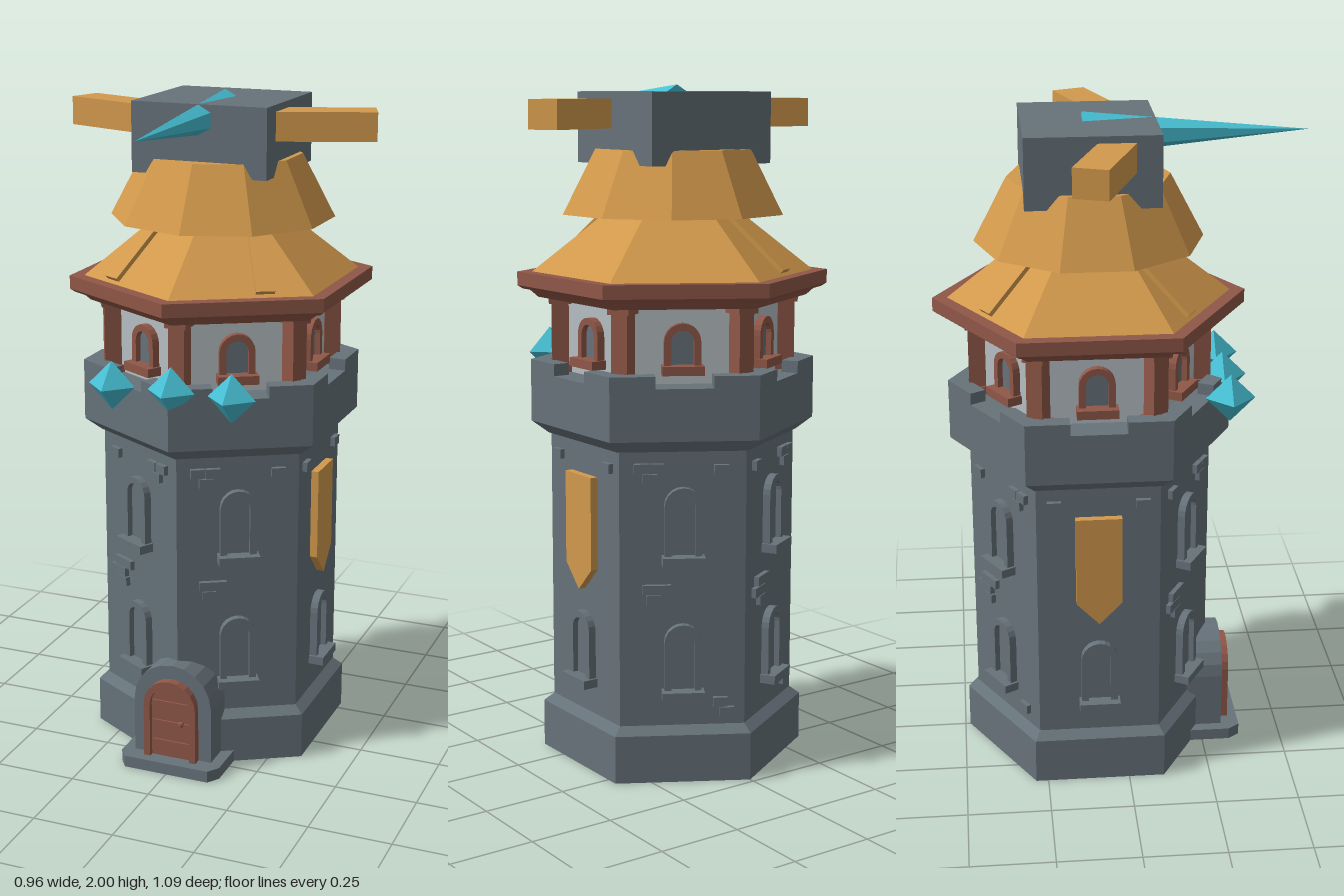
import * as THREE from 'three';

const mat = (name, color) => Object.assign(new THREE.MeshStandardMaterial({ color }), { name });

// Hex sizes are given as the distance from the centre to a flat side.
const HEX = Math.cos(Math.PI / 6);
const CENTRE_Z = -0.09;
const BODY = 0.315;

export function createModel() {
  const stone = mat('stone', 0x66727a);
  const thatch = mat('ochre', 0xd2994c);
  const timber = mat('timber', 0x8f5747);
  const plaster = mat('plaster', 0xb6bfc3);
  const crystal = mat('crystal', 0x46bfd3);

  const root = new THREE.Group();
  root.name = 'tower';

  const add = (parent, name, geo, material, x = 0, y = 0, z = 0) => {
    const flat = geo.index ? geo.toNonIndexed() : geo;
    flat.computeVertexNormals();
    const mesh = new THREE.Mesh(flat, material);
    mesh.name = name;
    mesh.position.set(x, y, z);
    parent.add(mesh);
    return mesh;
  };
  const group = (parent, name, x = 0, y = 0, z = 0) => {
    const g = new THREE.Group();
    g.name = name;
    g.position.set(x, y, z);
    parent.add(g);
    return g;
  };
  const box = (w, h, d) => new THREE.BoxGeometry(w, h, d);
  const extrude = (shape, depth) =>
    new THREE.ExtrudeGeometry(shape, { depth, bevelEnabled: false, curveSegments: 5 });
  const polygon = (pts) => new THREE.Shape(pts.map(([x, y]) => new THREE.Vector2(x, y)));
  // Upright arch standing on y = base
  const arch = (w, h, base = 0) => {
    const s = new THREE.Shape();
    s.moveTo(-w / 2, base);
    s.lineTo(w / 2, base);
    s.lineTo(w / 2, h - w / 2);
    s.absarc(0, h - w / 2, w / 2, 0, Math.PI, false);
    s.closePath();
    return s;
  };
  const archFrame = (w, h, border, base = 0) => {
    const s = arch(w, h);
    s.holes.push(arch(w - 2 * border, h - border, base));
    return s;
  };

  const tower = group(root, 'towerBody', 0, 0, CENTRE_Z);
  const hex = (name, bottom, top, y0, y1, material) =>
    add(tower, name, new THREE.CylinderGeometry(top / HEX, bottom / HEX, y1 - y0, 6),
      material, 0, (y0 + y1) / 2, 0);

  // Stacked hexagonal masonry and roof
  hex('plinth', 0.342, 0.342, 0, 0.142, stone);
  hex('plinthBevel', 0.342, BODY, 0.142, 0.165, stone);
  hex('wall', BODY, BODY, 0.16, 0.985, stone);
  hex('corbel', 0.322, 0.366, 0.978, 1.015, stone);
  hex('gallery', 0.366, 0.366, 1.015, 1.165, stone);
  hex('upperRoom', 0.278, 0.278, 1.16, 1.4, plaster);
  hex('eaveBeam', 0.345, 0.37, 1.385, 1.41, timber);
  hex('eave', 0.385, 0.398, 1.41, 1.42, timber);
  hex('eaveBoard', 0.398, 0.398, 1.42, 1.46, timber);
  hex('lowerRoof', 0.36, 0.14, 1.46, 1.66, thatch);
  add(tower, 'upperRoof', new THREE.CylinderGeometry(0.236, 0.334, 0.187, 10), thatch, 0, 1.7235, 0);

  // Arched window with a sill
  const makeWindow = (parent, name, y, z, w, h, frameMat, paneMat) => {
    const win = group(parent, name, 0, y, z);
    add(win, 'windowFrame', extrude(archFrame(w, h, 0.02, 0.02), 0.025), frameMat, 0, 0, -0.002);
    add(win, 'windowPane', extrude(arch(w - 0.04, h - 0.02), 0.006), paneMat);
    add(win, 'sill', box(w + 0.015, 0.026, 0.05), frameMat, 0, 0.013, 0.022);
  };

  // Raised bricks per face: [across, height]
  const midCluster = [[-0.095, 0.575], [-0.055, 0.575], [-0.085, 0.545]];
  const topRight = [[0.075, 0.93], [0.12, 0.93], [0.095, 0.9]];
  const topLeft = topRight.map(([u, y]) => [-u, y]);
  const bricks = [
    [...topLeft, [0.12, 0.925], ...midCluster],
    [[-0.13, 0.925], [0.13, 0.925]],
    [...topLeft, [0.11, 0.925], ...midCluster, [0.11, 0.235], [0.13, 0.205]],
    [...topRight, [-0.12, 0.925], ...midCluster, [-0.115, 0.545], [-0.08, 0.515], [0.11, 0.215]],
    [[-0.13, 0.925], [0.13, 0.925]],
    [...topRight, [-0.11, 0.925], ...midCluster, [-0.115, 0.545], [-0.08, 0.515]],
  ];
  const ribs = { 0: 0.07, 3: 0, 5: -0.07 };
  const T = Math.tan(Math.PI / 6);

  for (let i = 0; i < 6; i++) {
    const face = group(tower, 'face');
    face.rotation.y = Math.PI / 6 + (i * Math.PI) / 3;
    const isSide = i === 1 || i === 4;

    makeWindow(face, 'lowerWindow', 0.25, BODY, 0.108, 0.222, stone, stone);
    if (isSide) {
      const cloth = polygon([[-0.068, 0.885], [-0.068, 0.61], [0, 0.54], [0.068, 0.61], [0.068, 0.885]]);
      add(face, 'banner', extrude(cloth, 0.023), thatch, 0, 0, BODY);
    } else {
      makeWindow(face, 'middleWindow', 0.65, BODY, 0.108, 0.225, stone, stone);
    }
    makeWindow(face, 'upperWindow', 1.195, 0.278, 0.105, 0.145, timber, stone);

    for (const [u, y] of bricks[i]) {
      add(face, 'brick', box(0.042, 0.028, 0.03), stone, u, y, BODY);
    }

    // Parapet corners either side of a central gap
    const o = 0.366, n = 0.315;
    for (const s of [-1, 1]) {
      const wall = polygon([[s * 0.082, o], [s * o * T, o], [s * n * T, n], [s * 0.082, n]]);
      add(face, 'parapet', extrude(wall, 0.04).rotateX(Math.PI / 2), stone, 0, 1.2, 0);
    }

    // Loose roof batten lying on the slope
    if (i in ribs) {
      const rib = add(face, 'roofBatten', box(0.055, 0.02, 0.23), thatch, ribs[i], 1.548, 0.268);
      rib.rotation.x = Math.atan2(0.2, 0.22);
    }

    // Corner post with head and foot
    const corner = group(tower, 'cornerPost');
    corner.rotation.y = (i * Math.PI) / 3;
    add(corner, 'post', box(0.05, 0.23, 0.05), timber, 0, 1.275, 0.335);
    add(corner, 'postHead', box(0.066, 0.022, 0.066), timber, 0, 1.378, 0.335);
    add(corner, 'postFoot', box(0.066, 0.022, 0.066), timber, 0, 1.176, 0.335);
  }

  // Entrance
  const entrance = group(root, 'entrance');
  add(entrance, 'porch', extrude(arch(0.25, 0.335), 0.194), stone, 0, 0, 0.12);
  add(entrance, 'doorFrame', extrude(archFrame(0.168, 0.292, 0.02), 0.03), timber, 0, 0, 0.31);
  add(entrance, 'door', extrude(arch(0.13, 0.272), 0.014), timber, 0, 0, 0.31);
  for (const y of [0.085, 0.15, 0.215]) {
    add(entrance, 'doorBatten', box(0.12, 0.012, 0.008), timber, 0, y, 0.326);
  }
  add(entrance, 'doorKnob', new THREE.IcosahedronGeometry(0.01), timber, 0.035, 0.155, 0.331);
  const slab = polygon([[-0.16, 0.18], [0.16, 0.18], [0.16, 0.335], [0.135, 0.37], [-0.135, 0.37], [-0.16, 0.335]]);
  add(entrance, 'doorstep', extrude(slab, 0.036).rotateX(Math.PI / 2), stone, 0, 0.036, 0);

  // Crystals along the front of the gallery
  for (const x of [-0.186, 0, 0.186]) {
    add(root, 'crystal', new THREE.OctahedronGeometry(0.073), crystal, x, 1.19, 0.308);
  }

  // Block on top with swept arms and a long spike
  add(root, 'topBlock', box(0.416, 0.205, 0.384), stone, 0, 1.8775, -0.091);
  for (const s of [-1, 1]) {
    const arm = add(root, 'arm', box(0.36, 0.084, 0.102), thatch, s * 0.292, 1.918, -0.056);
    arm.rotation.y = s * THREE.MathUtils.degToRad(20);
  }
  const spike = new THREE.ConeGeometry(0.064, 0.648, 6).rotateX(Math.PI / 2);
  // Keep a ridge on the upper side
  add(root, 'spike', spike, crystal, 0, 1.936, 0.216);

  return root;
}
